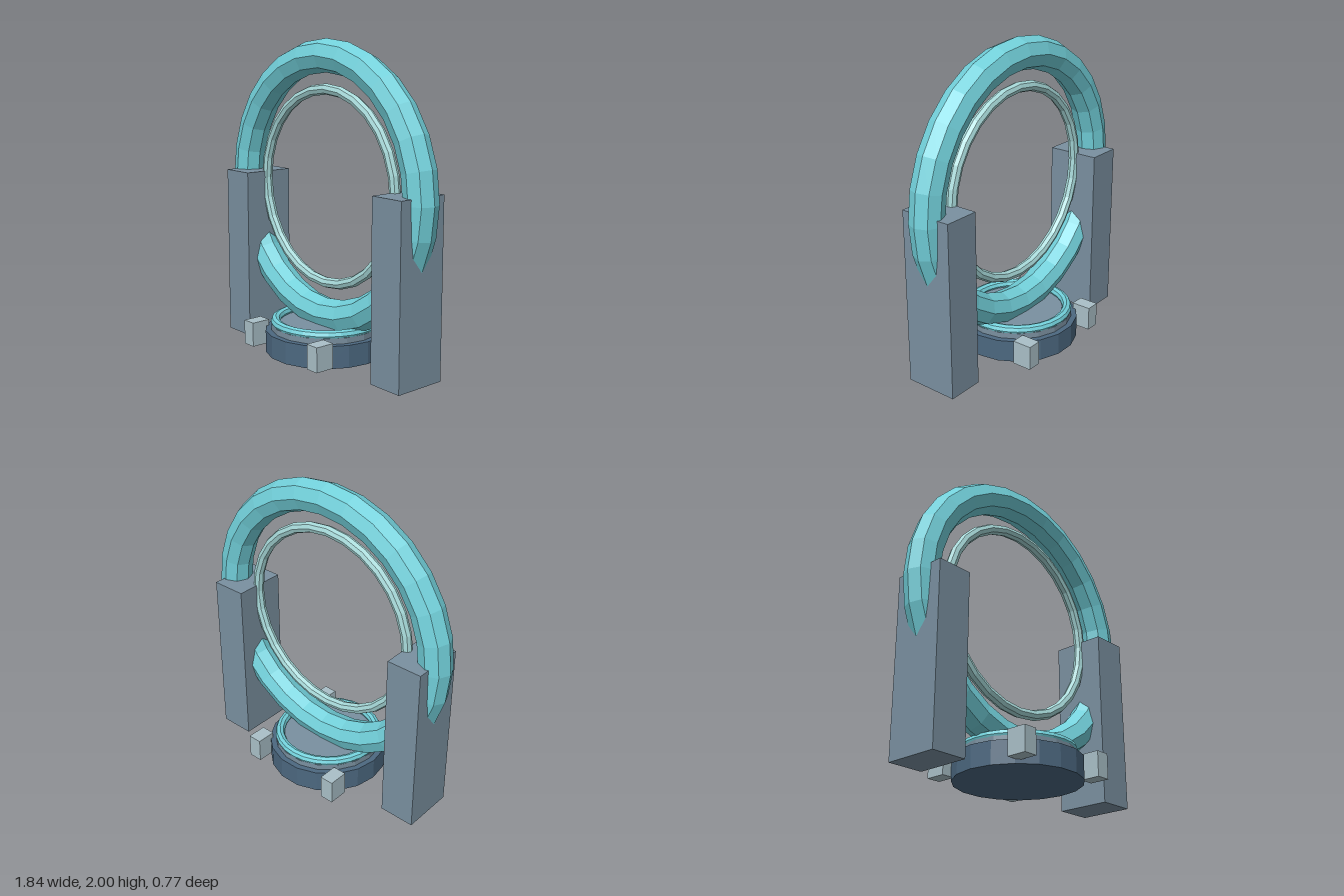
import * as THREE from 'three';

const mat = (name, color) => {
  const m = new THREE.MeshStandardMaterial({ color, flatShading: true });
  m.name = name;
  return m;
};

export function createModel() {
  const model = new THREE.Group();
  const teal = mat('teal', 0x72d0da);
  const paleTeal = mat('paleTeal', 0xa6d8d8);
  const slate = mat('slate', 0x7a90a0);
  const navy = mat('darkSlate', 0x4c6880);
  const silver = mat('silver', 0xaac0c8);

  const add = (name, geometry, material, x = 0, y = 0, z = 0) => {
    const mesh = new THREE.Mesh(geometry, material);
    mesh.name = name;
    mesh.position.set(x, y, z);
    model.add(mesh);
    return mesh;
  };

  // Upright rings
  add('outerRing', new THREE.TorusGeometry(0.818, 0.104, 8, 28), teal, 0, 1.078);
  add('innerRing', new THREE.TorusGeometry(0.613, 0.034, 8, 28), paleTeal, 0, 1.078);

  // Side pillars
  const pillar = new THREE.BoxGeometry(0.234, 1.12, 0.346);
  add('leftPillar', pillar, slate, 0.717, 0.56);
  add('rightPillar', pillar, slate, -0.717, 0.56);

  // Round pedestal: base, raised disc and glowing rim
  const base = new THREE.CylinderGeometry(0.392, 0.392, 0.142, 18).rotateY(Math.PI / 2);
  add('pedestalBase', base, navy, 0, 0.099);
  const disc = new THREE.CylinderGeometry(0.355, 0.355, 0.05, 18).rotateY(Math.PI / 2);
  add('pedestalDisc', disc, slate, 0, 0.182);
  const rim = new THREE.TorusGeometry(0.325, 0.031, 8, 28).rotateX(Math.PI / 2);
  add('pedestalRim', rim, teal, 0, 0.219);

  // Four clamps around the pedestal
  const clamp = new THREE.BoxGeometry(0.092, 0.156, 0.128);
  for (const [side, x] of [['Left', 0.317], ['Right', -0.317]]) {
    for (const [end, z] of [['front', 0.32], ['back', -0.32]]) {
      add(`${end}${side}Clamp`, clamp, silver, x, 0.13, z);
    }
  }
  return model;
}
